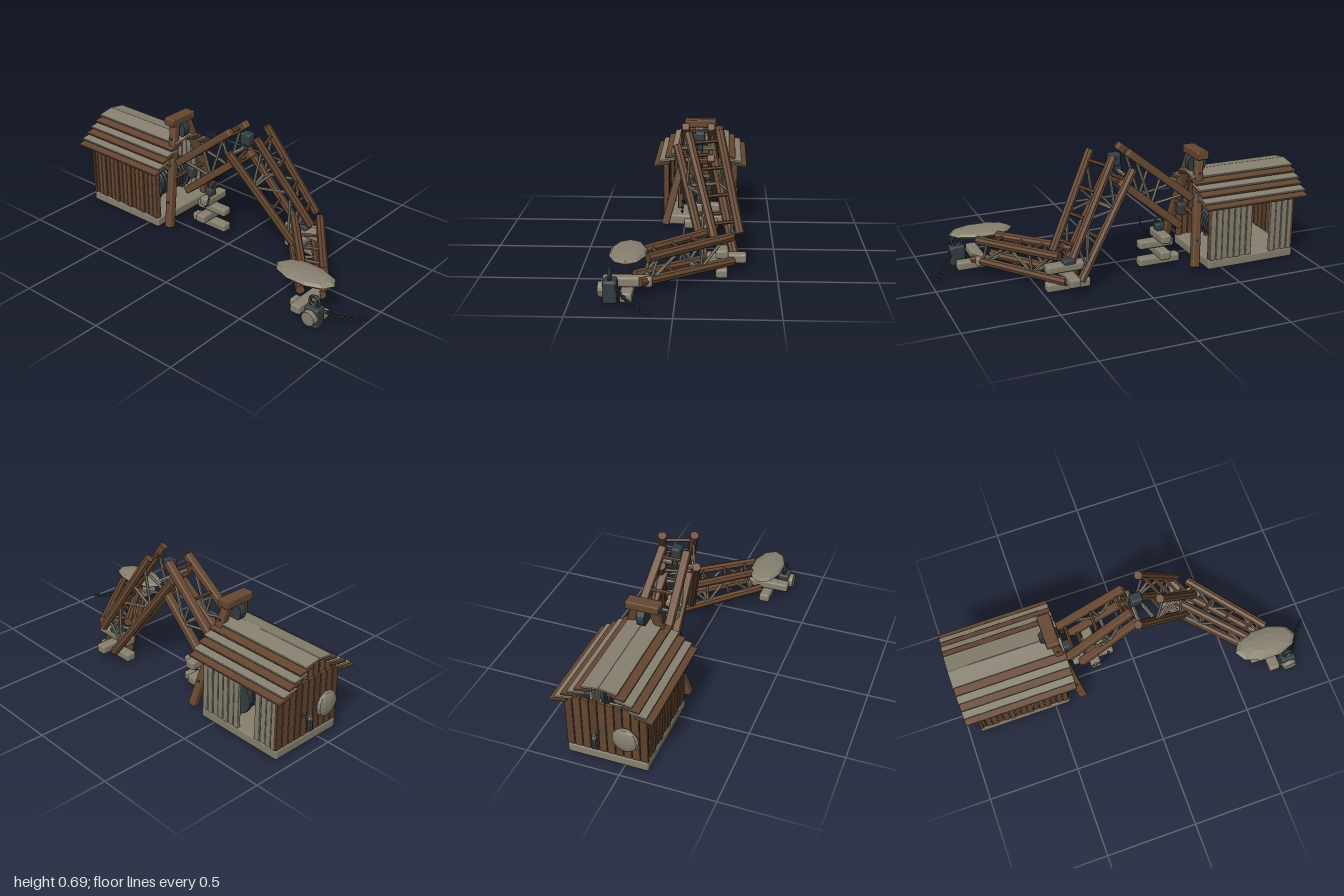
import * as THREE from 'three';
import { RoundedBoxGeometry } from 'three/addons/geometries/RoundedBoxGeometry.js';

const mat = (name, color) => {
  const m = new THREE.MeshStandardMaterial({ color, flatShading: true });
  m.name = name;
  return m;
};
const V = (p) => new THREE.Vector3(...p);

export function createModel() {
  const root = new THREE.Group();
  root.name = 'collapsedCrane';
  const wood = mat('brown timber', 0x654731);
  const darkWood = mat('dark timber', 0x5b402c);
  const grey = mat('weathered timber', 0x878070);
  const steel = mat('dark iron', 0x333d41);

  const group = (name) => {
    const g = new THREE.Group();
    g.name = name;
    root.add(g);
    return g;
  };
  const add = (parent, name, geo, material, pos = [0, 0, 0]) => {
    const m = new THREE.Mesh(geo, material);
    m.name = name;
    m.position.set(...pos);
    parent.add(m);
    return m;
  };
  const box = (parent, name, size, pos, material, r = 0.008) =>
    add(parent, name, new RoundedBoxGeometry(...size, 2, Math.min(r, Math.min(...size) * 0.4)), material, pos);
  const align = (m, a, b) => {
    m.position.copy(a).lerp(b, 0.5);
    m.quaternion.setFromUnitVectors(new THREE.Vector3(0, 1, 0), b.clone().sub(a).normalize());
    return m;
  };
  // round pole between two points
  const pole = (parent, name, a, b, r, material, sides = 8) =>
    align(add(parent, name, new THREE.CylinderGeometry(r, r, a.distanceTo(b), sides), material), a, b);
  // squared timber between two points
  const beam = (parent, name, a, b, w, material) =>
    align(add(parent, name, new RoundedBoxGeometry(w, a.distanceTo(b), w, 2, w * 0.2), material), a, b);
  // chain of links turned alternately along a curve
  const chain = (name, points, count, r) => {
    const g = group(name);
    const curve = new THREE.CatmullRomCurve3(points.map(V));
    for (let i = 0; i < count; i++) {
      const t = (i + 0.5) / count;
      const link = add(g, 'link', new THREE.TorusGeometry(r, r * 0.32, 5, 10), steel);
      link.position.copy(curve.getPointAt(t));
      link.quaternion.setFromUnitVectors(new THREE.Vector3(1, 0, 0), curve.getTangentAt(t));
      link.rotateX(i % 2 ? Math.PI / 2 : 0);
      link.scale.x = 1.25;
    }
  };

  // ---- hut ----
  const hut = group('hut');
  const cz = -0.09;
  box(hut, 'hutFloor', [0.52, 0.057, 0.43], [-0.675, 0.033, cz], grey, 0.012);
  const wall = (name, n, x0, x1, z, materialAt, skip = () => false) => {
    const w = (x1 - x0) / n;
    for (let i = 0; i < n; i++) {
      const x = x0 + w * (i + 0.5);
      if (!skip(x)) box(hut, name, [w * 0.93, 0.315, 0.018], [x, 0.213, z + (i % 3 - 1) * 0.002], materialAt(i), 0.004);
    }
  };
  const browns = (i) => (i % 3 ? wood : darkWood);
  wall('frontWallPlank', 15, -0.928, -0.422, 0.112, browns);
  wall('backWallPlank', 14, -0.928, -0.422, -0.294, () => grey, (x) => x > -0.77 && x < -0.66);
  for (let i = 0; i < 10; i++)
    box(hut, 'endWallPlank', [0.018, 0.31, 0.041], [-0.922, 0.213, -0.285 + i * 0.0433], browns(i), 0.004);
  for (const z of [-0.285, 0.105]) box(hut, 'cornerPost', [0.03, 0.31, 0.03], [-0.435, 0.21, z], wood);

  // overlapping roof boards, mirrored about the ridge
  const roof = group('roof');
  const edges = [0.265, 0.235, 0.2, 0.165, 0.128, 0.09];
  edges.forEach((d, i) => {
    for (const s of [1, -1]) {
      const m = box(roof, 'roofBoard', [0.61, 0.012, 0.094],
        [-0.68, 0.375 + i * 0.025, cz + s * (d - 0.045)], i % 2 ? grey : wood, 0.004);
      m.rotation.x = s * 0.16;
    }
  });

  // round disc and lamp on the end wall
  const disc = add(hut, 'endDisc', new THREE.SphereGeometry(0.07, 12, 8), grey, [-0.955, 0.2, 0.02]);
  disc.scale.x = 0.38;
  add(hut, 'lamp', new THREE.CylinderGeometry(0.016, 0.016, 0.06, 8), steel, [-0.984, 0.16, -0.13]);
  add(hut, 'lampCap', new THREE.CylinderGeometry(0.008, 0.014, 0.02, 8), grey, [-0.984, 0.2, -0.13]);
  box(hut, 'lampBracket', [0.05, 0.012, 0.012], [-0.95, 0.19, -0.13], steel);

  // rope winch inside the hut
  const winch = group('winch');
  const drum = add(winch, 'drum', new THREE.CylinderGeometry(0.075, 0.075, 0.22, 16), steel, [-0.585, 0.18, -0.11]);
  drum.rotation.x = Math.PI / 2;
  for (let i = 0; i < 8; i++)
    add(winch, 'ropeCoil', new THREE.TorusGeometry(0.078, 0.012, 6, 18), steel, [-0.585, 0.18, -0.2 + i * 0.025]);
  for (const s of [1, -1]) {
    const flange = add(winch, 'drumFlange', new THREE.CylinderGeometry(0.1, 0.1, 0.018, 16), steel, [-0.585, 0.18, -0.11 + s * 0.115]);
    flange.rotation.x = Math.PI / 2;
    box(winch, 'winchStand', [0.05, 0.13, 0.03], [-0.585, 0.125, -0.11 + s * 0.14], wood);
  }

  // ---- A-frame mast ----
  const mast = group('mast');
  for (const s of [1, -1]) {
    const foot = V([-0.338, 0.03, cz + s * 0.2]), top = V([-0.425, 0.6, cz + s * 0.045]);
    beam(mast, 'mastLeg', foot, top, 0.044, wood);
    for (const t of [0.25, 0.6, 0.85]) {
      const bolt = add(mast, 'bolt', new THREE.CylinderGeometry(0.008, 0.008, 0.054, 6), steel, foot.clone().lerp(top, t).toArray());
      bolt.rotation.x = Math.PI / 2;
    }
  }
  box(mast, 'mastCap', [0.07, 0.046, 0.18], [-0.43, 0.61, cz], wood);
  const sheave = add(mast, 'mastSheave', new THREE.CylinderGeometry(0.055, 0.055, 0.04, 16), steel, [-0.43, 0.55, cz]);
  sheave.rotation.x = Math.PI / 2;
  box(mast, 'boomPivot', [0.05, 0.068, 0.05], [-0.348, 0.3, cz - 0.005], steel, 0.012);
  pole(mast, 'pivotBar', V([-0.37, 0.3, cz - 0.13]), V([-0.37, 0.3, cz + 0.13]), 0.014, wood);

  // ---- broken boom: four chords [upper front, upper back, lower front, lower back] ----
  const boomSection = (name, ends, bays, r, squared) => {
    const g = group(name);
    const chords = ends.map(([a, b]) => [V(a), V(b)]);
    for (const [a, b] of chords)
      squared ? beam(g, 'chord', a, b, r * 2, wood) : pole(g, 'chord', a, b, r, wood, 8);
    const at = (k, t) => chords[k][0].clone().lerp(chords[k][1], t);
    for (let i = 0; i <= bays; i++) {
      const t = 0.1 + 0.78 * i / bays, u = 0.1 + 0.78 * (i + 1) / bays;
      pole(g, 'upperRung', at(0, t), at(1, t), 0.01, wood, 6);
      pole(g, 'lowerRung', at(2, t), at(3, t), 0.01, i % 2 ? grey : wood, 6);
      for (const k of [0, 1]) {
        if (i % 2) pole(g, 'upright', at(k, t), at(k + 2, t), 0.008, grey, 6);
        if (i < bays) pole(g, 'brace', at(i % 2 ? k + 2 : k, t), at(i % 2 ? k : k + 2, u), 0.008, grey, 6);
      }
    }
  };
  boomSection('innerBoom', [
    [[-0.365, 0.385, 0], [0, 0.68, -0.022]],
    [[-0.365, 0.385, -0.182], [0, 0.68, -0.156]],
    [[-0.3, 0.237, 0], [0.04, 0.52, -0.022]],
    [[-0.3, 0.237, -0.182], [0.04, 0.52, -0.156]],
  ], 2, 0.021, true);
  boomSection('middleBoom', [
    [[0.16, 0.68, -0.04], [0.425, 0.205, -0.18]],
    [[0.098, 0.68, -0.2], [0.365, 0.205, -0.31]],
    [[0.02, 0.58, 0.022], [0.365, 0.065, -0.135]],
    [[-0.035, 0.58, -0.155], [0.31, 0.06, -0.285]],
  ], 3, 0.024, false);
  boomSection('outerBoom', [
    [[0.315, 0.205, -0.18], [0.62, 0.198, 0.16]],
    [[0.42, 0.207, -0.27], [0.735, 0.198, 0.13]],
    [[0.295, 0.058, -0.19], [0.645, 0.082, 0.2]],
    [[0.385, 0.065, -0.275], [0.755, 0.082, 0.168]],
  ], 3, 0.024, false);
  const joints = group('boomJoints');
  box(joints, 'upperJoint', [0.065, 0.07, 0.055], [0.05, 0.63, -0.098], steel, 0.012);
  box(joints, 'upperJointTongue', [0.04, 0.05, 0.03], [0.03, 0.585, -0.098], steel);
  box(joints, 'elbowJoint', [0.07, 0.06, 0.062], [0.355, 0.14, -0.22], steel, 0.012);
  pole(joints, 'jointPin', V([0.03, 0.57, 0.01]), V([0.03, 0.57, -0.18]), 0.011, grey, 6);

  // flattened shell on the boom tip
  const shell = add(group('boomTip'), 'tipShell', new THREE.SphereGeometry(1, 10, 6), grey, [0.692, 0.211, 0.227]);
  shell.scale.set(0.175, 0.027, 0.092);

  // ---- timber cribbing under the boom ----
  const cribs = group('cribbing');
  const block = (size, pos) => box(cribs, 'cribBlock', size, pos, grey, 0.012);
  block([0.24, 0.048, 0.06], [-0.21, 0.028, -0.1]);
  block([0.06, 0.05, 0.19], [-0.215, 0.077, -0.1]);
  block([0.2, 0.046, 0.06], [-0.19, 0.127, -0.1]);
  block([0.06, 0.05, 0.17], [-0.213, 0.174, -0.12]);
  block([0.24, 0.048, 0.06], [0.36, 0.028, -0.22]);
  block([0.06, 0.05, 0.205], [0.36, 0.077, -0.243]);
  block([0.24, 0.046, 0.064], [0.36, 0.128, -0.22]);
  block([0.21, 0.048, 0.06], [0.725, 0.028, 0.23]);
  block([0.06, 0.05, 0.24], [0.72, 0.077, 0.23]);

  // ---- hoist blocks and chains ----
  const hoist = group('hoist');
  box(hoist, 'weight', [0.085, 0.114, 0.068], [0.808, 0.061, 0.304], steel, 0.014);
  const face = add(hoist, 'weightFace', new THREE.CylinderGeometry(0.038, 0.042, 0.026, 12), grey, [0.808, 0.066, 0.348]);
  face.rotation.x = Math.PI / 2;
  add(hoist, 'weightRing', new THREE.TorusGeometry(0.028, 0.009, 6, 16), steel, [0.808, 0.141, 0.304]);
  box(hoist, 'smallBlock', [0.05, 0.045, 0.05], [-0.213, 0.218, -0.1], steel, 0.012);
  add(hoist, 'smallRing', new THREE.TorusGeometry(0.02, 0.006, 6, 14), steel, [-0.213, 0.255, -0.1]);
  chain('weightChain', [[0.848, 0.085, 0.275], [0.885, 0.045, 0.225], [0.93, 0.02, 0.165], [0.987, 0.012, 0.105]], 14, 0.01);
  chain('looseChain', [[-0.14, 0.255, -0.005], [-0.15, 0.2, 0], [-0.18, 0.16, 0.005], [-0.25, 0.13, 0.005]], 9, 0.007);
  return root;
}
